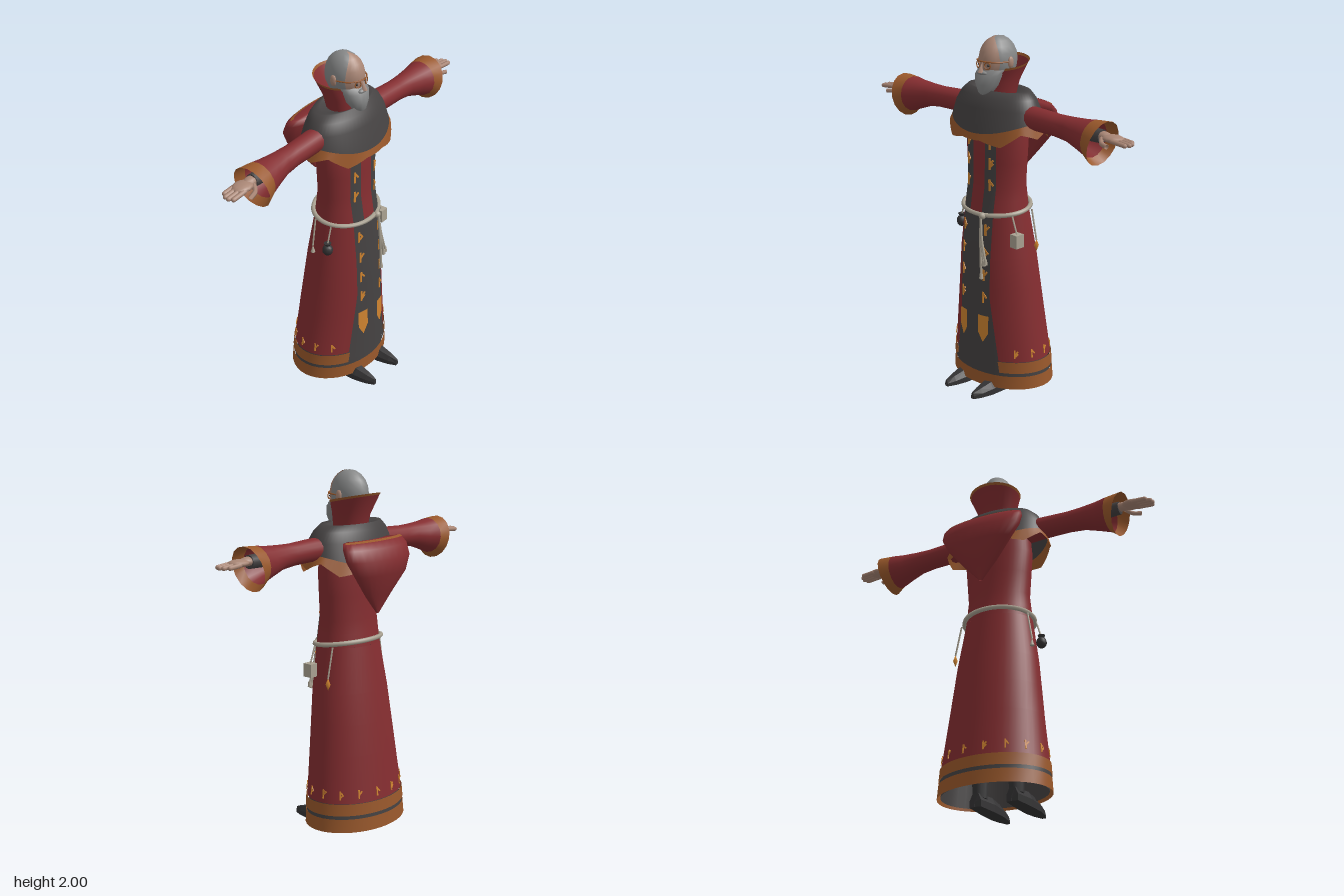
import * as THREE from 'three';
import { mergeVertices } from 'three/addons/utils/BufferGeometryUtils.js';

const TAU = Math.PI * 2;
const mat = (name, color) => new THREE.MeshStandardMaterial({ name, color, side: THREE.DoubleSide });

// Robe profile: [y, half width, front z, back z]
const PROFILE = [
  [0.04, 0.318, 0.19, -0.288], [0.2, 0.305, 0.187, -0.275], [0.46, 0.272, 0.183, -0.243],
  [0.8, 0.235, 0.175, -0.195], [1.05, 0.197, 0.158, -0.152], [1.2, 0.183, 0.135, -0.132],
  [1.46, 0.205, 0.13, -0.13], [1.68, 0.19, 0.1, -0.12]];

// Interpolated robe ring at a height, optionally enlarged
function ringAt(y, grow = 0) {
  let i = 0;
  while (i < PROFILE.length - 2 && PROFILE[i + 1][0] < y) i++;
  const p = PROFILE[i], q = PROFILE[i + 1], t = (y - p[0]) / (q[0] - p[0]);
  const m = k => p[k] + (q[k] - p[k]) * t;
  return [y, m(1) + grow, m(2) + grow, m(3) - grow];
}

// Point on an elliptic ring; angle 0 faces front, growing toward +x
const onRing = ([y, rx, zf, zb], a) =>
  [rx * Math.sin(a), y, (zf + zb) / 2 + (zf - zb) / 2 * Math.cos(a)];

// Grid surface from a point function
function surface(fn, nu, nv) {
  const pos = [], idx = [];
  for (let j = 0; j <= nv; j++) for (let i = 0; i <= nu; i++) pos.push(...fn(i / nu, j));
  for (let j = 0; j < nv; j++) for (let i = 0; i < nu; i++) {
    const a = j * (nu + 1) + i, b = a + 1, c = a + nu + 1, d = c + 1;
    idx.push(a, b, d, a, d, c);
  }
  let g = new THREE.BufferGeometry();
  g.setAttribute('position', new THREE.Float32BufferAttribute(pos, 3));
  g.setIndex(idx);
  g = mergeVertices(g, 1e-5);
  g.computeVertexNormals();
  return g;
}

// Stacked rings, bottom to top, over an angle span
function shell(rows, n, span = () => [0, TAU], dy = () => 0) {
  return surface((u, j) => {
    const [a0, a1] = span(rows[j], j), a = a0 + (a1 - a0) * u, p = onRing(rows[j], a);
    p[1] += dy(a, j);
    return p;
  }, n, rows.length - 1);
}

export function createModel() {
  const root = new THREE.Group();
  const red = mat('red cloth', 0x842d30), dark = mat('charcoal cloth', 0x454242),
    brown = mat('brown trim', 0x99582b), gold = mat('gold', 0xd08430),
    skin = mat('skin', 0xa98675), hair = mat('grey hair', 0x868787),
    rope = mat('rope', 0xaaa292), black = mat('black leather', 0x343334);
  const add = (name, geo, m, parent = root, x = 0, y = 0, z = 0) => {
    const o = new THREE.Mesh(geo, m);
    o.name = name;
    o.position.set(x, y, z);
    parent.add(o);
    return o;
  };
  const tube = (pts, r, closed = false) => new THREE.TubeGeometry(
    new THREE.CatmullRomCurve3(pts.map(p => new THREE.Vector3(...p)), closed), closed ? 64 : 10, r, 6, closed);

  // Robe with a dark front wedge and banded hem
  const rings = (ys, grow = 0) => ys.map(y => ringAt(y, grow));
  const edge = r => Math.asin(Math.max(0.08, 0.175 - 0.16 * (r[0] - 0.14)) / r[1]);
  const sides = r => [edge(r), TAU - edge(r)], front = r => [-edge(r), edge(r)];
  add('robe', shell(rings([0.2, 0.46, 0.63, 0.8, 1.05]), 40, sides), red);
  add('robeTop', shell(rings([1.05, 1.12, 1.2, 1.33, 1.46, 1.68]), 40), red);
  add('frontPanel', shell(rings([0.14, 0.46, 0.63, 0.8, 1.05]), 8, front), dark);
  add('upperHem', shell(rings([0.135, 0.2], 0.006), 40, sides), brown);
  add('hemStripe', shell(rings([0.112, 0.14]), 40), dark);
  add('lowerHem', shell(rings([0.04, 0.115], 0.004), 40), brown);
  add('lining', shell(rings([0.05, 0.46, 1.0], -0.014), 32), dark);

  // Hanging front strips with gold pointed ends
  const strip = (s, rows, lift) => surface((u, j) => {
    const [y, x0, x1] = rows[j], x = s * (x0 + (x1 - x0) * (s > 0 ? u : 1 - u));
    const r = ringAt(y, lift);
    return [x, y, onRing(r, Math.asin(x / r[1]))[2]];
  }, 3, rows.length - 1);
  // Abstract stitched mark lying on the robe
  const mark = (a, y, kind, h, lift, pitch) => {
    const r = ringAt(y, lift), g = new THREE.Group();
    g.name = 'stitchedMark';
    g.position.set(...onRing(r, a));
    g.rotation.order = 'YXZ';
    g.rotation.set(pitch, Math.atan2(Math.sin(a) / r[1], Math.cos(a) / ((r[2] - r[3]) / 2)), 0);
    const bar = (x, v, len, rz) => {
      add('stitch', new THREE.BoxGeometry(h * 0.17, len * h, 0.004), gold, g, x * h, v * h).rotation.z = rz;
    };
    bar(-0.1, 0, 1, 0);
    bar(0.1, 0.15, 0.5, kind % 2 ? 0.7 : -0.7);
    if (kind % 3 === 0) bar(0.1, -0.12, 0.42, -0.8);
    root.add(g);
  };
  for (const s of [-1, 1]) {
    add('frontStrip', strip(s, [0.46, 0.63, 0.8, 1.05, 1.2, 1.46, 1.5].map(y => [y, 0.045, 0.112]), 0.008), dark);
    add('stripEnd', strip(s, [[0.305, 0.077, 0.08], [0.36, 0.045, 0.112], [0.462, 0.045, 0.112]], 0.012), gold);
    [0.57, 0.7, 0.83, 0.96, 1.21, 1.33, 1.44].forEach((y, k) =>
      mark(Math.asin(s * 0.079 / ringAt(y)[1]), y, k + (s > 0 ? 1 : 0), 0.065, 0.012, 0));
  }
  for (let k = 0; k < 12; k++) mark(0.95 + k * (TAU - 1.9) / 11, 0.25, k, 0.05, 0.004, -0.12);

  // Shoulder mantle with a pointed trim
  const sag = a => 0.07 * Math.sin(a) ** 2;
  const zig = a => {
    const d = Math.abs(a > Math.PI ? TAU - a : a) * 180 / Math.PI;
    const near = Math.min(...[36, 84, 132, 180].map(t => Math.abs(d - t)));
    return -0.045 * (1 - Math.min(near, 24) / 24);
  };
  const trimTop = [1.5, 0.3, 0.19, -0.2];
  add('mantleTrim', shell([[1.465, 0.32, 0.2, -0.215], trimTop], 60, undefined,
    (a, j) => sag(a) + (j ? 0 : zig(a))), brown);
  add('mantle', shell([trimTop, [1.63, 0.285, 0.155, -0.165], [1.685, 0.255, 0.125, -0.145],
    [1.72, 0.215, 0.095, -0.125], [1.712, 0.16, 0.08, -0.11], [1.69, 0.09, 0.06, -0.09]], 60, undefined,
    (a, j) => j ? 0 : sag(a)), dark);

  // Hood bag lying on the back
  add('hood', shell([[1.24, 0.008, -0.2, -0.215], [1.34, 0.1, -0.18, -0.245], [1.46, 0.2, -0.16, -0.295],
    [1.54, 0.245, -0.13, -0.298], [1.6, 0.25, -0.12, -0.265], [1.635, 0.235, -0.12, -0.225],
    [1.635, 0.01, -0.16, -0.165]], 24), red);
  add('hoodTrim', shell([[1.634, 0.238, -0.12, -0.229], [1.642, 0.225, -0.12, -0.21]], 16,
    () => [Math.PI * 0.55, Math.PI * 1.45]), brown);

  // Flared collar, open at the front
  const collarSpan = (r, j) => { const a = [0.2, 0.45, 0.72, 0.75][j]; return [a, TAU - a]; };
  const tilt = (a, j) => j > 1 ? -0.025 * Math.cos(a) : 0;
  const collar = [[1.68, 0.098, 0.075, -0.1], [1.76, 0.115, 0.075, -0.115],
    [1.845, 0.148, 0.075, -0.165], [1.858, 0.154, 0.077, -0.172]];
  add('collar', shell(collar.slice(0, 3), 24, collarSpan, tilt), red);
  add('collarTrim', shell(collar.slice(2), 24, (r, j) => collarSpan(r, j + 2), (a, j) => tilt(a, j + 2)), brown);

  // Head: hair, face, beard and spectacles
  const head = new THREE.Group();
  head.name = 'head';
  root.add(head);
  add('neck', new THREE.CylinderGeometry(0.055, 0.06, 0.16, 12), skin, head, 0, 1.74, -0.02);
  const skull = add('hair', new THREE.SphereGeometry(1, 14, 10), hair, head, 0, 1.873, -0.008);
  skull.scale.set(0.09, 0.127, 0.113);
  add('face', surface((u, j) => {
    const t = -0.7 + j * 0.27, w = [0.9, 0.95, 1, 1, 0.95, 0.85, 0.7, 0.4, 0][j], a = (2 * u - 1) * w;
    return [0.0925 * Math.cos(t) * Math.sin(a), 1.873 + 0.1285 * Math.sin(t), -0.006 + 0.116 * Math.cos(t) * Math.cos(a)];
  }, 10, 8), skin, head);
  add('beard', shell([[1.675, 0.008, 0.1, 0.08], [1.705, 0.04, 0.127, 0.045], [1.75, 0.072, 0.134, 0.01],
    [1.8, 0.087, 0.128, -0.02], [1.83, 0.091, 0.095, -0.03]], 16), hair, head);
  const nose = add('nose', new THREE.ConeGeometry(0.019, 0.06, 4), skin, head, 0, 1.842, 0.117);
  nose.rotation.x = -0.25;
  add('moustache', new THREE.SphereGeometry(0.02, 8, 6), hair, head, 0, 1.812, 0.115).scale.set(2, 0.6, 0.8);
  add('browBar', tube([[-0.093, 1.868, 0], [-0.072, 1.872, 0.08], [0, 1.875, 0.12],
    [0.072, 1.872, 0.08], [0.093, 1.868, 0]], 0.004), brown, head);
  for (const s of [-1, 1]) {
    add('lensRim', new THREE.TorusGeometry(0.018, 0.003, 5, 12), brown, head, s * 0.036, 1.853, 0.108).rotation.y = s * 0.35;
    add('eye', new THREE.SphereGeometry(0.007, 8, 6), black, head, s * 0.036, 1.853, 0.1);
    add('ear', new THREE.SphereGeometry(1, 8, 6), skin, head, s * 0.092, 1.865, -0.01).scale.set(0.012, 0.032, 0.02);
  }

  // Arms and shoes, mirrored
  // Sleeve rows: [x, centre y, vertical radius, depth radius, slant]
  const sleeve = rows => surface((u, j) => {
    const [x, y, ry, rz, k] = rows[j], a = u * TAU;
    return [x + k * Math.cos(a), y + ry * Math.cos(a), rz * Math.sin(a)];
  }, 16, rows.length - 1);
  const cuff = [0.7, 1.566, 0.1, 0.1, 0.006];
  for (const s of [1, -1]) {
    const side = new THREE.Group();
    side.name = s > 0 ? 'leftLimbs' : 'rightLimbs';
    side.scale.x = s;
    root.add(side);
    add('sleeve', sleeve([[0.17, 1.595, 0.065, 0.07, 0], [0.3, 1.595, 0.062, 0.064, 0], [0.45, 1.59, 0.06, 0.06, 0],
      [0.54, 1.586, 0.066, 0.066, 0], [0.63, 1.574, 0.083, 0.083, 0.003], cuff]), red, side);
    add('cuff', sleeve([cuff, [0.762, 1.552, 0.12, 0.115, 0.03]]), brown, side);
    const forearm = add('innerSleeve', new THREE.CylinderGeometry(0.036, 0.045, 0.3, 12), dark, side, 0.61, 1.59, 0);
    forearm.rotation.z = -Math.PI / 2;
    add('wrist', new THREE.SphereGeometry(1, 10, 8), skin, side, 0.77, 1.594, 0).scale.set(0.05, 0.024, 0.032);
    add('palm', new THREE.SphereGeometry(1, 12, 8), skin, side, 0.83, 1.592, 0).scale.set(0.062, 0.02, 0.05);
    for (let k = 0; k < 4; k++) {
      const z = -0.036 + k * 0.024, len = [0.08, 0.1, 0.105, 0.095][k];
      const f = add('finger', new THREE.CapsuleGeometry(0.0125, len - 0.012, 3, 8), skin, side, 0.848 + len / 2, 1.585, z);
      f.rotation.z = Math.PI / 2 - 0.08;
    }
    add('thumb', tube([[0.78, 1.588, 0.03], [0.81, 1.575, 0.063], [0.855, 1.568, 0.075]], 0.013), skin, side);

    // Pointed shoe, rows from heel to toe: [z, half width, height]
    const shoeRows = [[-0.065, 0.001, 0.03], [-0.06, 0.034, 0.075], [0.08, 0.044, 0.085], [0.18, 0.044, 0.068],
      [0.25, 0.03, 0.05], [0.298, 0.011, 0.035], [0.3, 0.001, 0.02]];
    const ring = [[-1, 0], [1, 0], [1, 0.5], [0.5, 1], [-0.5, 1], [-1, 0.5], [-1, 0]];
    const shoe = surface((u, j) => {
      const [z, w, h] = shoeRows[j], [px, py] = ring[Math.round(u * 6)];
      return [px * w, py * h, z];
    }, 6, shoeRows.length - 1).toNonIndexed();
    shoe.computeVertexNormals();
    add('shoe', shoe, black, side, 0.11, 0, 0);
    add('leg', new THREE.CylinderGeometry(0.06, 0.04, 0.45, 10), black, side, 0.11, 0.28, -0.01);
  }

  // Rope belt with front cords
  const belt = [];
  for (let k = 0; k < 24; k++) {
    const a = k / 24 * TAU, p = onRing([1.064, 0.207, 0.168, -0.16], a);
    belt.push([p[0], p[1] - 0.022 * Math.cos(a), p[2]]);
  }
  add('belt', tube(belt, 0.013, true), rope);
  add('knot', new THREE.SphereGeometry(0.02, 10, 8), rope, root, 0.06, 1.04, 0.172);
  [[0.075, 0.7], [0.095, 0.78], [0.11, 0.79]].forEach(([x, y]) => {
    add('cord', tube([[0.06, 1.04, 0.182], [0.06 + (x - 0.06) * 0.3, 0.92, 0.19], [x, y, 0.195]], 0.007), rope);
    add('cordEnd', new THREE.CylinderGeometry(0.008, 0.012, 0.03, 8), rope, root, x, y, 0.195);
  });

  // Trinkets hanging from the belt
  const hang = (x, y, z, x0) => add('string', tube([[x0, 1.06, z], [(x + x0) / 2, (y + 1.06) / 2, z], [x, y, z]], 0.005), rope);
  hang(0.232, 0.95, 0.075, 0.19);
  add('smallBook', new THREE.BoxGeometry(0.05, 0.075, 0.055), rope, root, 0.232, 0.917, 0.075);
  hang(0.243, 0.89, -0.065, 0.205);
  add('goldCharm', new THREE.SphereGeometry(1, 6, 2), gold, root, 0.243, 0.86, -0.065).scale.set(0.014, 0.035, 0.014);
  hang(-0.235, 0.95, 0.055, -0.2);
  add('pouch', new THREE.SphereGeometry(0.03, 10, 8), black, root, -0.235, 0.915, 0.055).scale.y = 1.1;
  add('pouchNeck', new THREE.CylinderGeometry(0.022, 0.012, 0.018, 8), black, root, -0.235, 0.95, 0.055);
  hang(-0.232, 0.9, -0.05, -0.205);
  add('tassel', new THREE.ConeGeometry(0.013, 0.045, 8), rope, root, -0.232, 0.88, -0.05);
  return root;
}
